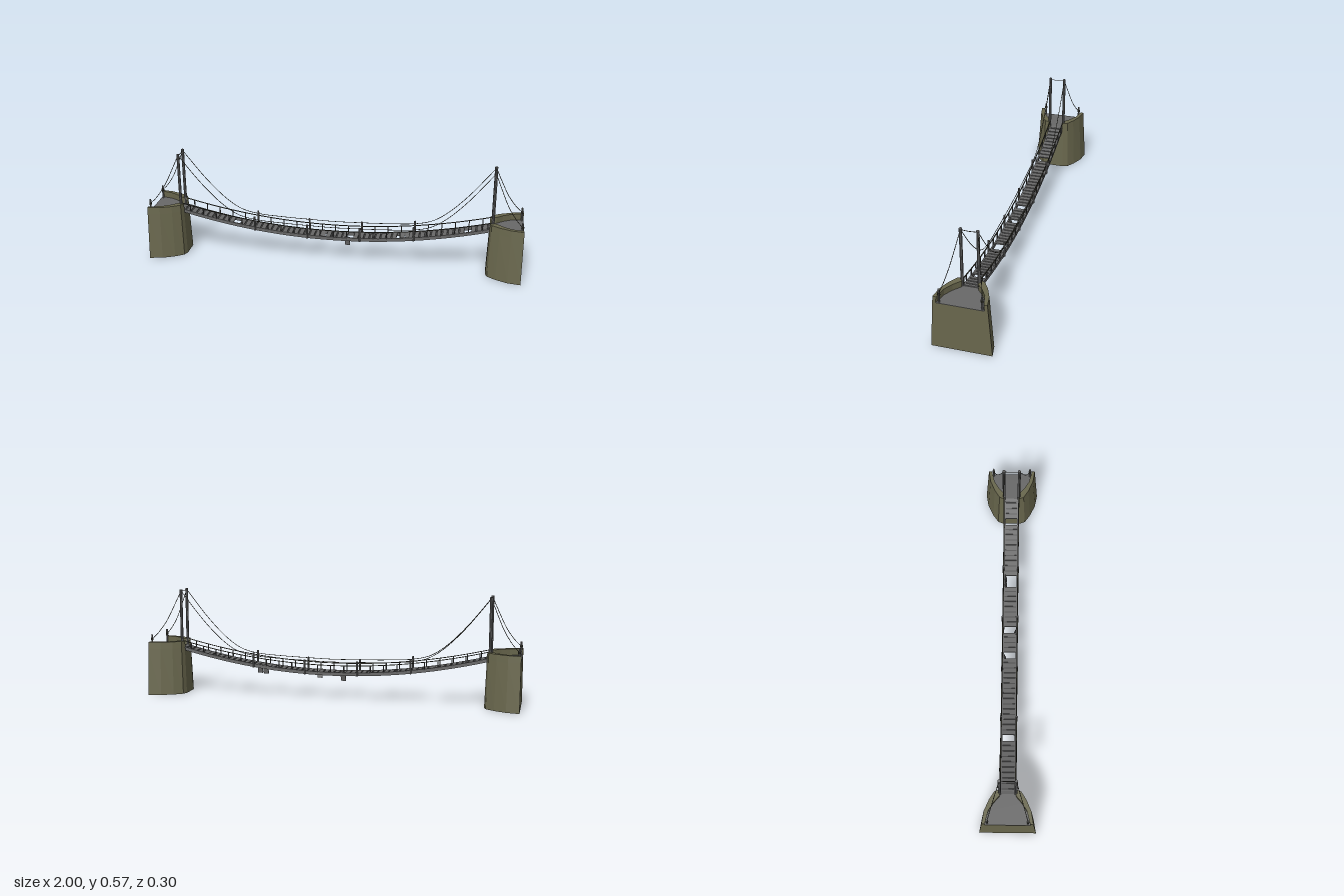
import * as THREE from 'three';

const mat = (name, color, side = THREE.FrontSide) => {
  const m = new THREE.MeshStandardMaterial({ color, side });
  m.name = name;
  return m;
};

export function createModel() {
  const stone = mat('olive stone', 0x69674d);
  const grey = mat('grey timber', 0x686868);
  const dark = mat('dark timber', 0x4c4c4c);
  const rope = mat('dark rope', 0x3a392f);
  const model = new THREE.Group();

  const add = (name, geo, material, parent, x = 0, y = 0, z = 0) => {
    const m = new THREE.Mesh(geo, material);
    m.name = name;
    m.position.set(x, y, z);
    parent.add(m);
    return m;
  };
  const box = (name, w, h, d, material, parent, x, y, z) =>
    add(name, new THREE.BoxGeometry(w, h, d), material, parent, x, y, z);
  const post = (name, r, y0, y1, parent, x, z, material = grey) => {
    const g = new THREE.CylinderGeometry(r, r, y1 - y0, 8).toNonIndexed();
    g.computeVertexNormals();
    return add(name, g, material, parent, x, (y0 + y1) / 2, z);
  };
  const cable = (name, pts, r, parent, n = 24) => {
    const c = new THREE.CatmullRomCurve3(pts.map(p => new THREE.Vector3(...p)), false, 'centripetal');
    return add(name, new THREE.TubeGeometry(c, n, r, 5), rope, parent);
  };
  const deckY = x => 0.142 + 0.108 * (x / 0.83) ** 2;
  const railY = x => 0.186 + 0.104 * (x / 0.83) ** 2;
  const slope = x => Math.atan(2 * 0.108 * x / 0.83 ** 2);

  // Long beam bent along a sagging curve
  const sagBeam = (name, height, width, f, z, material) => {
    const g = new THREE.BoxGeometry(1.67, height, width, 48, 1, 1);
    const p = g.attributes.position;
    for (let i = 0; i < p.count; i++) p.setY(i, p.getY(i) + f(p.getX(i)));
    g.computeVertexNormals();
    add(name, g, material, model, 0, 0, z);
  };

  // Upright prism that tapers toward the top
  const prism = (pts, y0, y1) => {
    const s = new THREE.Shape(pts.map(p => new THREE.Vector2(...p)));
    const g = new THREE.ExtrudeGeometry(s, { depth: y1 - y0, bevelEnabled: false });
    g.rotateX(-Math.PI / 2).translate(0, y0, 0);
    const p = g.attributes.position;
    for (let i = 0; i < p.count; i++) {
      const t = p.getY(i) / 0.29;
      p.setX(i, 1 - (1 - p.getX(i)) * (1 - 0.05 * t));
      p.setZ(i, p.getZ(i) * (1 - 0.13 * t));
    }
    g.computeVertexNormals();
    return g;
  };
  const mirror = pts => pts.map(([x, z]) => [x, -z]).reverse();
  const outer = [[1, 0.15], [0.932, 0.138], [0.87, 0.109], [0.826, 0.078], [0.816, 0.05]];
  const inner = [[0.816, 0.042], [0.85, 0.048], [0.885, 0.082], [0.93, 0.112], [1, 0.131]];

  // Piers with parapets, towers and anchor posts
  for (const turn of [0, Math.PI]) {
    const end = new THREE.Group();
    end.name = turn ? 'rightEnd' : 'leftEnd';
    end.rotation.y = turn;
    model.add(end);
    add('pierBody', prism([...outer, ...mirror(outer)].reverse(), 0, 0.254), stone, end);
    const floor = [...mirror(inner), ...inner];
    add('pierFloor', prism(floor, 0.254, 0.256), grey, end);
    const wall = [...outer, ...inner];
    add('parapet', prism(wall, 0.254, 0.29), stone, end);
    add('parapet', prism(mirror(wall), 0.254, 0.29), stone, end);
    for (const s of [-1, 1]) {
      post('tower', 0.008, 0.235, 0.573, end, 0.84, s * 0.0415);
      post('anchorPost', 0.005, 0.254, 0.328, end, 0.99, s * 0.103);
      post('ropeWrap', 0.0075, 0.298, 0.31, end, 0.99, s * 0.103, rope);
      cable('anchorCable', [[0.99, 0.305, s * 0.103], [0.96, 0.335, s * 0.093],
        [0.915, 0.4, s * 0.076], [0.875, 0.485, s * 0.058], [0.84, 0.566, s * 0.0415]], 0.0017, end);
    }
    cable('towerTie', [[0.84, 0.565, -0.04], [0.84, 0.563, 0], [0.84, 0.565, 0.04]], 0.0017, end, 8);
  }

  // Main cables, side beams, rails and railing posts
  const half = [[0.84, 0.566], [0.71, 0.405], [0.6, 0.297], [0.52, 0.246], [0.43, 0.224], [0.29, 0.214], [0.145, 0.209]];
  for (const s of [-1, 1]) {
    const z = s * 0.0415;
    cable('mainCable', [...half.map(([x, y]) => [-x, y, z]), [0, 0.206, z],
      ...half.slice().reverse().map(([x, y]) => [x, y, z])], 0.0017, model, 80);
    sagBeam('sideBeam', 0.018, 0.008, x => deckY(x) - 0.002, s * 0.036, grey);
    sagBeam('handRail', 0.0035, 0.005, railY, s * 0.039, rope);
    for (let k = -11; k <= 11; k++) {
      const x = k * 0.0717;
      const big = Math.abs(k) === 2 || Math.abs(k) === 6;
      if (big) post('tallPost', 0.0055, deckY(x) - 0.012, deckY(x) + 0.068, model, x, z);
      else box('railPost', 0.005, railY(x) - deckY(x), 0.005, dark, model, x, (railY(x) + deckY(x)) / 2, s * 0.039);
    }
  }

  // Deck planks with a few missing
  const gaps = [-0.54, -0.067, 0.075, 0.363, 0.393, 0.715];
  const pitch = 0.0297;
  for (let i = -28; i <= 28; i++) {
    const x = i * pitch;
    if (gaps.some(g => Math.abs(g - x) <= pitch / 2)) continue;
    const plank = box('plank', 0.023, 0.007, 0.07, grey, model, x, deckY(x) + 0.003, 0);
    plank.rotation.z = slope(x);
    const next = x + pitch;
    if (i === 28 || gaps.some(g => Math.abs(g - next) <= pitch / 2)) continue;
    const xm = x + pitch / 2;
    const filler = box('lowerPlank', 0.009, 0.005, 0.07, dark, model, xm, deckY(xm) - 0.001, 0);
    filler.rotation.z = slope(xm);
  }

  // Broken planks hanging from one side
  for (const [x, s] of [[-0.067, -1], [0.075, 1], [0.363, -1], [0.395, -1]]) {
    const p = box('hangingPlank', 0.027, 0.05, 0.006, grey, model, x, deckY(x) - 0.014, s * 0.029);
    p.rotation.x = s * 0.2;
  }
  return model;
}
